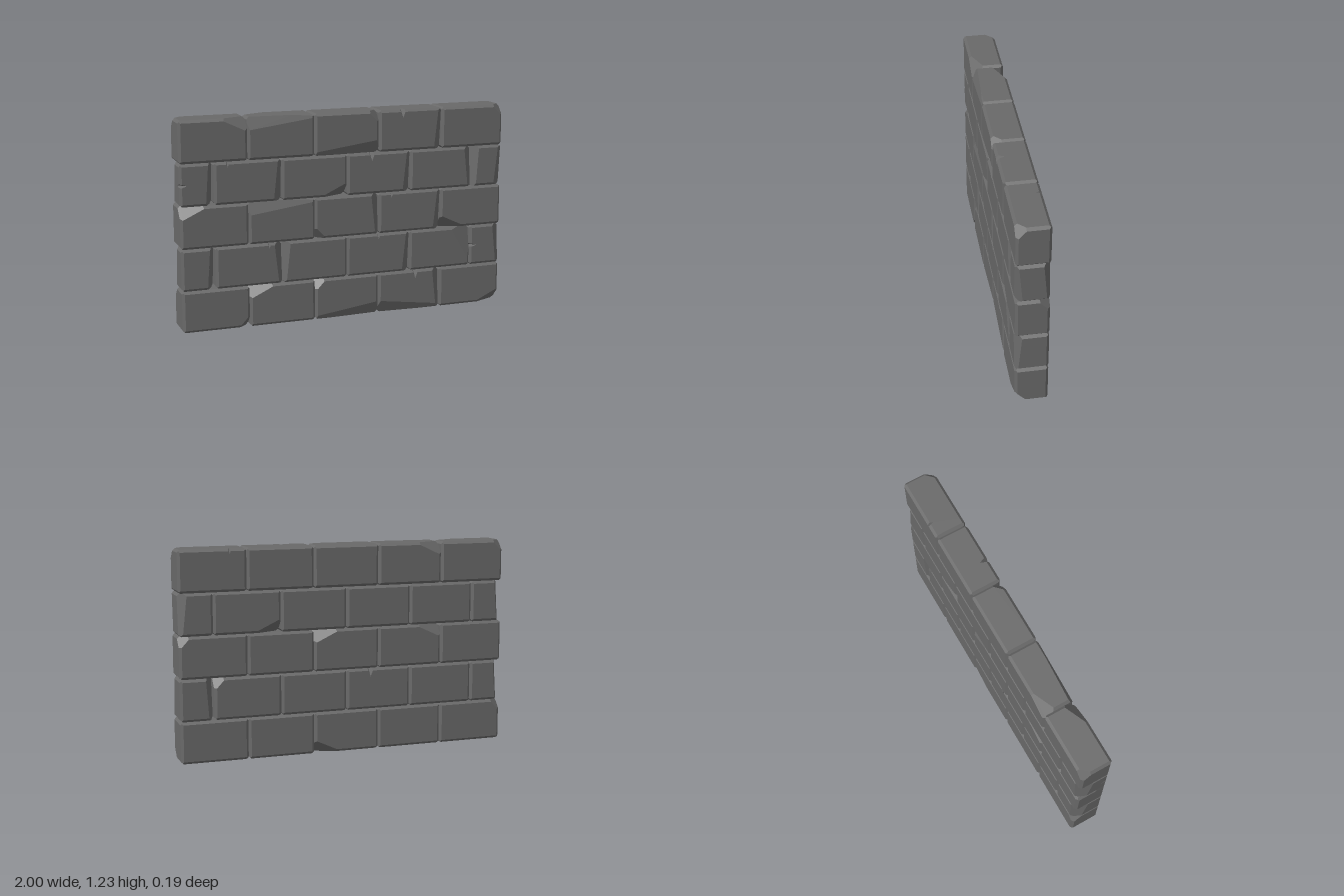
import * as THREE from 'three';

const ROW = 0.246, DEPTH = 0.095, BEVEL = 0.015;
const V = (x, y, z) => new THREE.Vector3(x, y, z);

// A plane keeps the side where n.p <= d
const plane = (n, d) => new THREE.Plane(n, -d).normalize();

// Each kind of wear slices a corner off at fixed distances along x, y, z.
// Corners are named left/right, top/bottom, front/back, such as 'rtf'.
const cut = (x, y, z) => corner => half => {
  const s = V(corner[0] === 'r' ? 1 : -1, corner[1] === 't' ? 1 : -1, corner[2] === 'f' ? 1 : -1);
  const n = s.clone().divide(V(x, y, z));
  return plane(n, n.dot(s.multiply(half)) - 1);
};
const chip = cut(0.17, 0.08, 0.075);
const smallChip = cut(0.07, 0.075, 0.07);
const slope = cut(0.05, 0.45, 0.04);
const taper = cut(0.05, 0.7, 0.09);
const wedge = cut(0.55, 0.075, 0.03);

// Two planes of a V-shaped nick, which splits a brick into two convex pieces
const nick = (axis, pos, side, face, width, reach) => half => [1, -1].map(s => {
  const along = s / width, into = -side / reach;
  const n = axis === 'x' ? V(along, into, -face / reach) : V(into, along, -face / reach);
  const sideHalf = axis === 'x' ? half.y : half.x;
  return plane(n, 1 + along * pos - (sideHalf + half.z) / reach);
});
const topNick = (x, face = 1) => nick('x', x, 1, face, 0.02, 0.05);
const fineNick = (x, face = 1) => nick('x', x, 1, face, 0.012, 0.033);
const endNick = side => nick('y', 0, side, 1, 0.015, 0.045);

// Box planes plus a bevel along all twelve edges
function beveledBox(half) {
  const planes = [];
  for (let x = -1; x <= 1; x++) for (let y = -1; y <= 1; y++) for (let z = -1; z <= 1; z++) {
    const count = Math.abs(x) + Math.abs(y) + Math.abs(z);
    if (count !== 1 && count !== 2) continue;
    const n = V(x, y, z);
    planes.push(plane(n, n.dot(V(x, y, z).multiply(half)) - (count === 2 ? BEVEL : 0)));
  }
  return planes;
}

// Triangles of the convex solid bounded by the planes
function solid(planes, out) {
  const faces = planes.map(() => []);
  const N = planes.length;
  for (let i = 0; i < N; i++) for (let j = i + 1; j < N; j++) {
    const cross = V().crossVectors(planes[i].normal, planes[j].normal);
    if (cross.lengthSq() < 1e-10) continue;
    for (let k = j + 1; k < N; k++) {
      const det = cross.dot(planes[k].normal);
      if (Math.abs(det) < 1e-7) continue;
      const p = cross.clone().multiplyScalar(-planes[k].constant)
        .addScaledVector(V().crossVectors(planes[j].normal, planes[k].normal), -planes[i].constant)
        .addScaledVector(V().crossVectors(planes[k].normal, planes[i].normal), -planes[j].constant)
        .divideScalar(det);
      if (planes.some(q => q.distanceToPoint(p) > 1e-6)) continue;
      for (const f of [i, j, k]) {
        if (!faces[f].some(q => q.distanceTo(p) < 1e-5)) faces[f].push(p);
      }
    }
  }
  faces.forEach((pts, f) => {
    if (pts.length < 3) return;
    const mid = pts.reduce((s, p) => s.add(p), V(0, 0, 0)).divideScalar(pts.length);
    const u = V().subVectors(pts[0], mid).normalize();
    const v = V().crossVectors(planes[f].normal, u);
    const angle = p => Math.atan2(V().subVectors(p, mid).dot(v), V().subVectors(p, mid).dot(u));
    pts.sort((p, q) => angle(p) - angle(q));
    for (let i = 1; i < pts.length - 1; i++) {
      for (const p of [pts[0], pts[i], pts[i + 1]]) out.push(p.x, p.y, p.z);
    }
  });
}

function brickGeometry(width, cuts, notch) {
  const half = V(width / 2, ROW / 2, DEPTH);
  const planes = beveledBox(half).concat(cuts.map(c => c(half)));
  const out = [];
  if (notch) {
    const [a, b] = notch(half);
    solid([...planes, a.clone().negate()], out);
    solid([...planes, a, b.clone().negate()], out);
  } else solid(planes, out);
  const g = new THREE.BufferGeometry();
  g.setAttribute('position', new THREE.Float32BufferAttribute(out, 3));
  g.computeVertexNormals();
  return g;
}

// Courses from bottom to top; each brick lists its cuts and an optional nick
const COURSES = [
  [
    [[smallChip('rbf'), smallChip('ltb')]],
    [[chip('ltf')]],
    [[smallChip('ltf'), wedge('rbf'), chip('rbb')]],
    [[wedge('lbf'), slope('rtf')], topNick(0.04)],
    [[chip('rbf')]],
  ],
  [
    [[taper('rbf'), taper('ltb')], endNick(1)],
    [[slope('rtf')], fineNick(0.12)],
    [[slope('ltf')], topNick(0.05, -1)],
    [[slope('rbf')], fineNick(0)],
    [[cut(0.13, 0.22, 0.04)('rtf'), smallChip('rtb')]],
    [[slope('rtf'), taper('ltb')], endNick(-1)],
  ],
  [
    [[chip('ltf')]],
    [[wedge('ltf'), chip('ltb')]],
    [[smallChip('lbf'), slope('rtf'), chip('rtb')]],
    [[slope('rbf')], fineNick(-0.12)],
    [[chip('lbf'), smallChip('rtb')]],
  ],
  [
    [[taper('rbf'), taper('ltb')], endNick(-1)],
    [[slope('rbf')], fineNick(-0.12)],
    [[chip('rbf')]],
    [[slope('rbf')], topNick(-0.045)],
    [[slope('rtf'), chip('lbb')]],
    [[taper('ltf'), slope('rtb'), slope('rbf')]],
  ],
  [
    [[chip('rtf'), smallChip('ltb')]],
    [[wedge('ltf'), chip('ltb')]],
    [[smallChip('rtf'), wedge('rbf')]],
    [[slope('rbf')], topNick(-0.05)],
    [[smallChip('rtf')], fineNick(-0.1, -1)],
  ],
];

export function createModel() {
  const wall = new THREE.Group();
  wall.name = 'brickWall';
  const stone = new THREE.MeshStandardMaterial({ color: 0x696969 });
  stone.name = 'darkStone';

  COURSES.forEach((bricks, row) => {
    const course = new THREE.Group();
    course.name = `course${row + 1}`;
    course.position.y = (row + 0.5) * ROW;
    let x = -1;
    bricks.forEach(([cuts, notch], i) => {
      // Staggered courses start and end with a half brick
      const isHalf = bricks.length === 6 && (i === 0 || i === 5);
      const width = isHalf ? 0.2 : 0.4;
      const mesh = new THREE.Mesh(brickGeometry(width, cuts, notch), stone);
      mesh.name = isHalf ? 'halfBrick' : 'brick';
      mesh.position.x = x + width / 2;
      x += width;
      course.add(mesh);
    });
    wall.add(course);
  });
  return wall;
}
